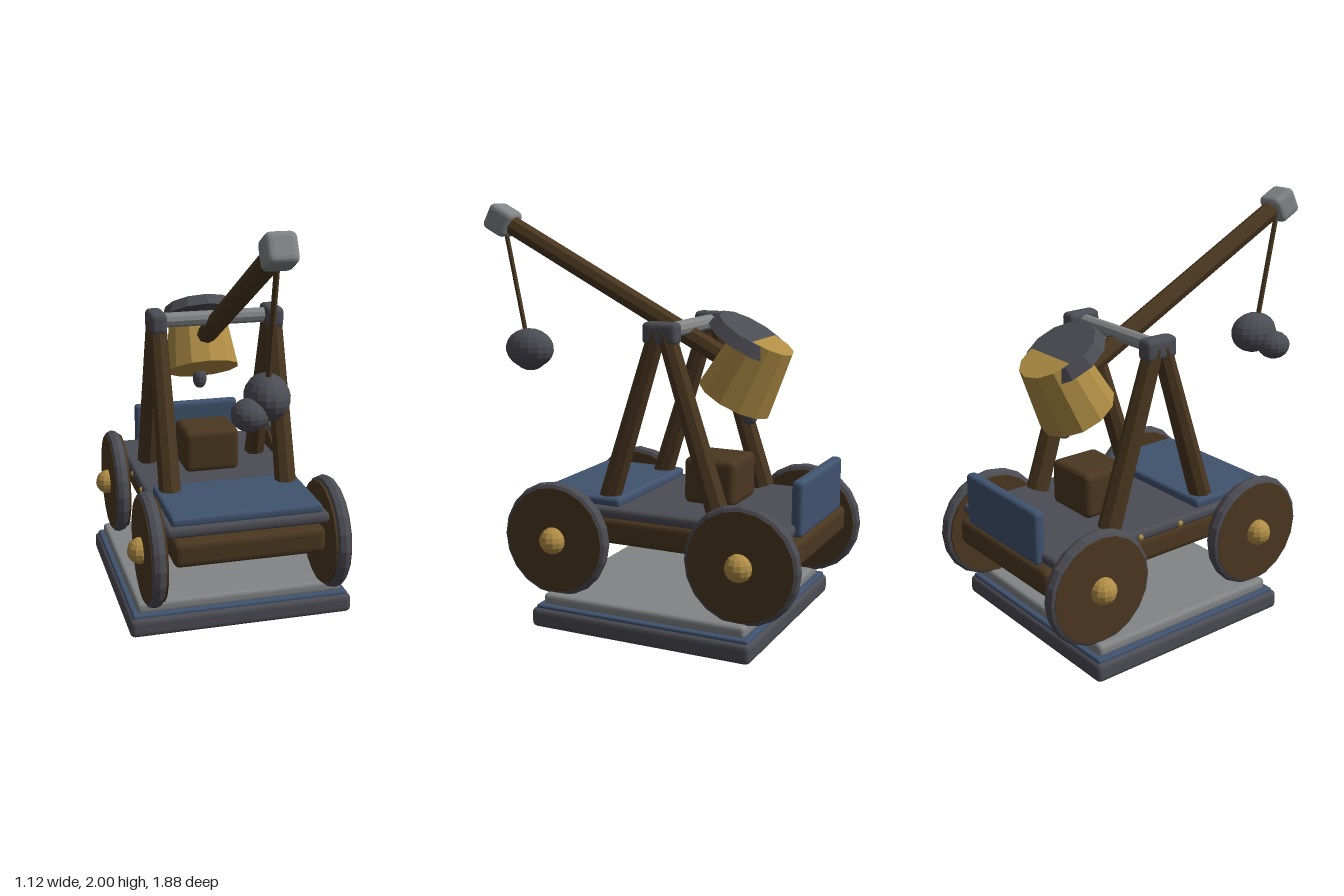
import * as THREE from 'three';
import { RoundedBoxGeometry } from 'three/addons/geometries/RoundedBoxGeometry.js';

const paint = (name, color) => {
  const m = new THREE.MeshStandardMaterial({ color, flatShading: true });
  m.name = name;
  return m;
};

export function createModel() {
  const wood = paint('dark wood', 0x4a3720);
  const iron = paint('dark iron', 0x4c4c54);
  const steel = paint('light steel', 0x828486);
  const brass = paint('brass', 0xb08d45);
  const blue = paint('blue paint', 0x40526e);

  const model = new THREE.Group();
  model.name = 'siegeEngine';

  const add = (name, geometry, material, x = 0, y = 0, z = 0, parent = model) => {
    const mesh = new THREE.Mesh(geometry, material);
    mesh.name = name;
    mesh.position.set(x, y, z);
    parent.add(mesh);
    return mesh;
  };
  // rounded box given by its width and its y and z ranges
  const slab = (name, material, w, [y0, y1], [z0, z1], r, x = 0) =>
    add(name, new RoundedBoxGeometry(w, y1 - y0, z1 - z0, 2, r), material,
      x, (y0 + y1) / 2, (z0 + z1) / 2);
  // round bar from point a to point b
  const bar = (name, material, a, b, ra, rb, sides = 8) => {
    const p = new THREE.Vector3(...a), q = new THREE.Vector3(...b);
    const dir = q.clone().sub(p);
    const mid = p.clone().add(q).multiplyScalar(0.5);
    const mesh = add(name, new THREE.CylinderGeometry(rb, ra, dir.length(), sides), material,
      mid.x, mid.y, mid.z);
    mesh.quaternion.setFromUnitVectors(new THREE.Vector3(0, 1, 0), dir.normalize());
    return mesh;
  };
  const ball = (name, material, [x, y, z], [rx, ry, rz], segs = 14, parent = model) => {
    const mesh = add(name, new THREE.SphereGeometry(1, segs, Math.round(segs * 0.7)), material,
      x, y, z, parent);
    mesh.scale.set(rx, ry, rz);
    return mesh;
  };

  // plinth
  slab('plinthBase', iron, 1.12, [0, 0.095], [-0.74, 0.38], 0.025);
  slab('plinthTrim', blue, 1.085, [0.07, 0.11], [-0.725, 0.36], 0.01);
  slab('plinthTop', steel, 1.035, [0.1, 0.16], [-0.7, 0.335], 0.02);

  // wagon body
  slab('chassis', wood, 0.74, [0.4, 0.53], [-0.885, 0.51], 0.03);
  slab('deck', iron, 0.8, [0.535, 0.59], [-0.85, 0.475], 0.022);
  slab('frontPanel', blue, 0.74, [0.58, 0.63], [0, 0.455], 0.018);
  slab('tailBoard', blue, 0.59, [0.53, 0.79], [-0.88, -0.825], 0.02);
  slab('woodenChest', wood, 0.29, [0.585, 0.81], [-0.49, -0.23], 0.03);
  for (const z of [-0.37, -0.13])
    ball('deckStud', brass, [-0.396, 0.56, z], [0.016, 0.016, 0.016], 8);

  // wheels with rims and hubs
  for (const z of [0.295, -0.657]) {
    bar('axle', wood, [-0.42, 0.425, z], [0.42, 0.425, z], 0.022, 0.022);
    for (const side of [-1, 1]) {
      const wheel = new THREE.Group();
      wheel.name = side > 0 ? 'leftWheel' : 'rightWheel';
      wheel.position.set(side * 0.445, 0.42, z);
      model.add(wheel);
      const disc = add('wheelDisc', new THREE.CylinderGeometry(0.256, 0.256, 0.08, 20), wood,
        0, 0, 0, wheel);
      disc.rotation.z = Math.PI / 2;
      const rim = add('wheelRim', new THREE.TorusGeometry(0.25, 0.03, 8, 20), iron,
        side * 0.004, 0, 0, wheel);
      rim.rotation.y = Math.PI / 2;
      rim.scale.z = 1.2;
      ball('wheelHub', brass, [side * 0.045, 0, 0], [0.065, 0.065, 0.065], 12, wheel);
    }
  }

  // A-frames and pivot
  for (const x of [-0.297, 0.297]) {
    bar('frontLeg', wood, [x, 0.6, 0.09], [x, 1.42, -0.165], 0.056, 0.046);
    bar('rearLeg', wood, [x, 0.6, -0.475], [x, 1.42, -0.21], 0.056, 0.046);
    slab('frameCap', iron, 0.085, [1.365, 1.47], [-0.275, -0.1], 0.025, x);
  }
  bar('pivotRod', steel, [-0.28, 1.42, -0.188], [0.28, 1.42, -0.188], 0.037, 0.037, 10);

  // throwing arm
  const tilt = -THREE.MathUtils.degToRad(27.4);
  bar('throwingArm', wood, [0, 1.27, -0.4], [0, 1.92, 0.858], 0.05, 0.05);
  add('armTip', new RoundedBoxGeometry(0.14, 0.14, 0.14, 2, 0.03), steel, 0, 1.918, 0.86)
    .rotation.x = tilt;

  // hanging load
  bar('rope', wood, [0, 1.9, 0.85], [0, 1.3, 0.725], 0.013, 0.013, 6);
  ball('largeStone', iron, [0.003, 1.265, 0.71], [0.1, 0.104, 0.132], 16);
  ball('smallStone', iron, [-0.09, 1.207, 0.765], [0.083, 0.072, 0.087], 14);

  // counterweight bucket with lid and knob
  add('bucket', new THREE.CylinderGeometry(0.15, 0.19, 0.325, 12), brass, 0, 1.235, -0.506)
    .rotation.x = tilt;
  add('bucketLid', new THREE.CylinderGeometry(0.18, 0.205, 0.06, 12), iron, 0, 1.388, -0.505)
    .rotation.x = -Math.PI / 6;
  ball('bucketKnob', iron, [0, 1.02, -0.508], [0.039, 0.055, 0.042], 10);

  return model;
}
